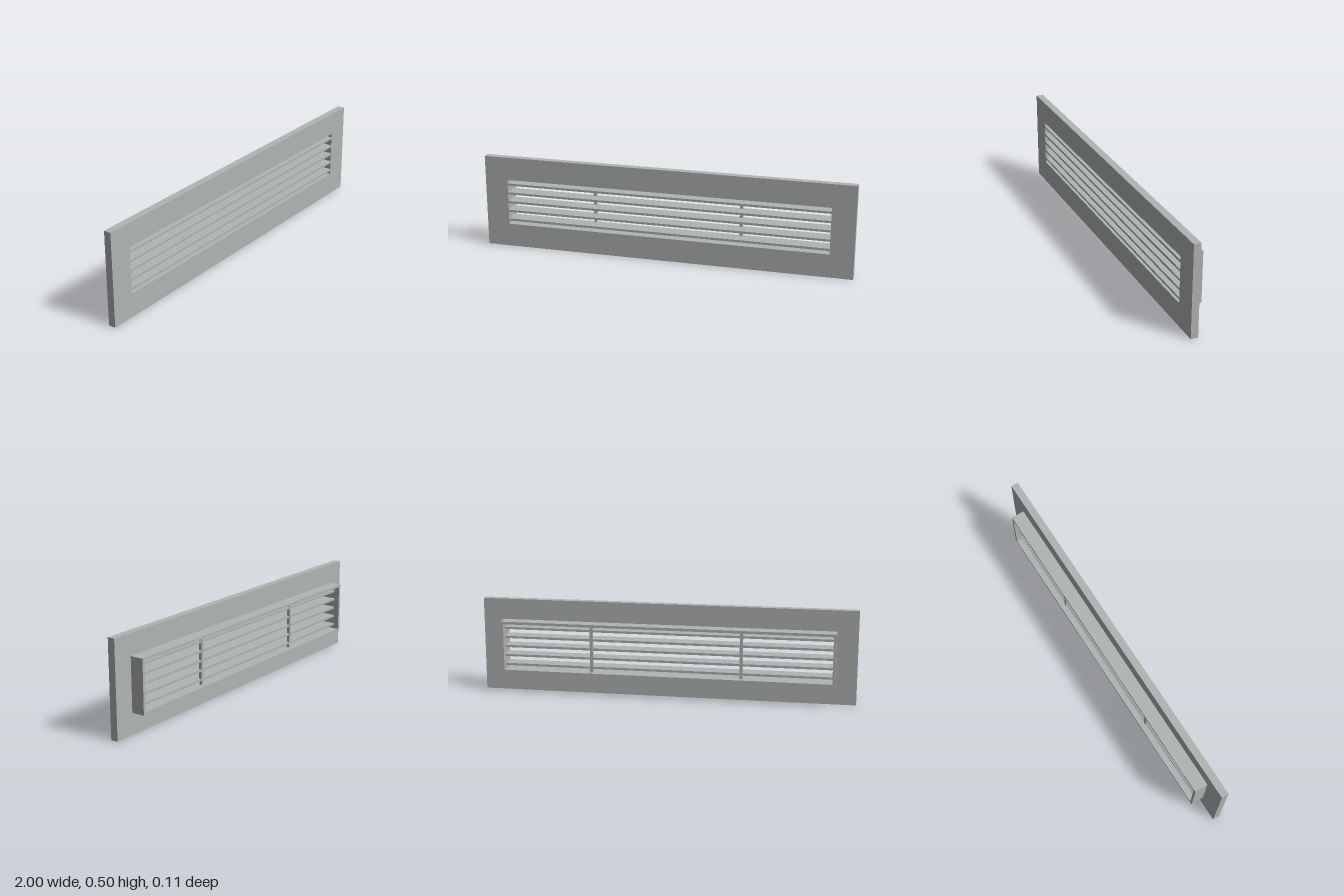
import * as THREE from 'three';

// Rectangular frame with a rectangular opening, extruded from z0 to z1
function frame(name, x, y0, y1, z0, z1, material) {
  const shape = new THREE.Shape([
    new THREE.Vector2(-x, y0), new THREE.Vector2(x, y0),
    new THREE.Vector2(x, y1), new THREE.Vector2(-x, y1),
  ]);
  shape.holes.push(new THREE.Path([
    new THREE.Vector2(-0.875, 0.126), new THREE.Vector2(-0.875, 0.377),
    new THREE.Vector2(0.875, 0.377), new THREE.Vector2(0.875, 0.126),
  ]));
  const geometry = new THREE.ExtrudeGeometry(shape, { depth: z1 - z0, bevelEnabled: false });
  geometry.translate(0, 0, z0);
  const mesh = new THREE.Mesh(geometry, material);
  mesh.name = name;
  return mesh;
}

function box(name, w, h, z0, z1, x, y, material) {
  const mesh = new THREE.Mesh(new THREE.BoxGeometry(w, h, z1 - z0), material);
  mesh.position.set(x, y, (z0 + z1) / 2);
  mesh.name = name;
  return mesh;
}

export function createModel() {
  const group = new THREE.Group();
  group.name = 'ventGrille';
  const metal = new THREE.MeshStandardMaterial({ color: 0xb0b4b2 });
  metal.name = 'grey metal';

  // Face plate and the shallow duct collar behind it
  group.add(frame('facePlate', 1, 0, 0.502, 0.016, 0.055, metal));
  group.add(frame('rearCollar', 0.89, 0.111, 0.391, -0.055, 0.016, metal));

  // Horizontal slats, flush with the front and recessed at the back
  for (let i = 0; i < 5; i++) {
    group.add(box('slat', 1.75, 0.012, -0.026, 0.055, 0, 0.151 + i * 0.05, metal));
  }

  // Vertical support bars at the rear of the slats
  for (const side of [-1, 1]) {
    group.add(box('supportBar', 0.016, 0.251, -0.028, -0.012, side * 0.4, 0.2515, metal));
  }
  return group;
}
